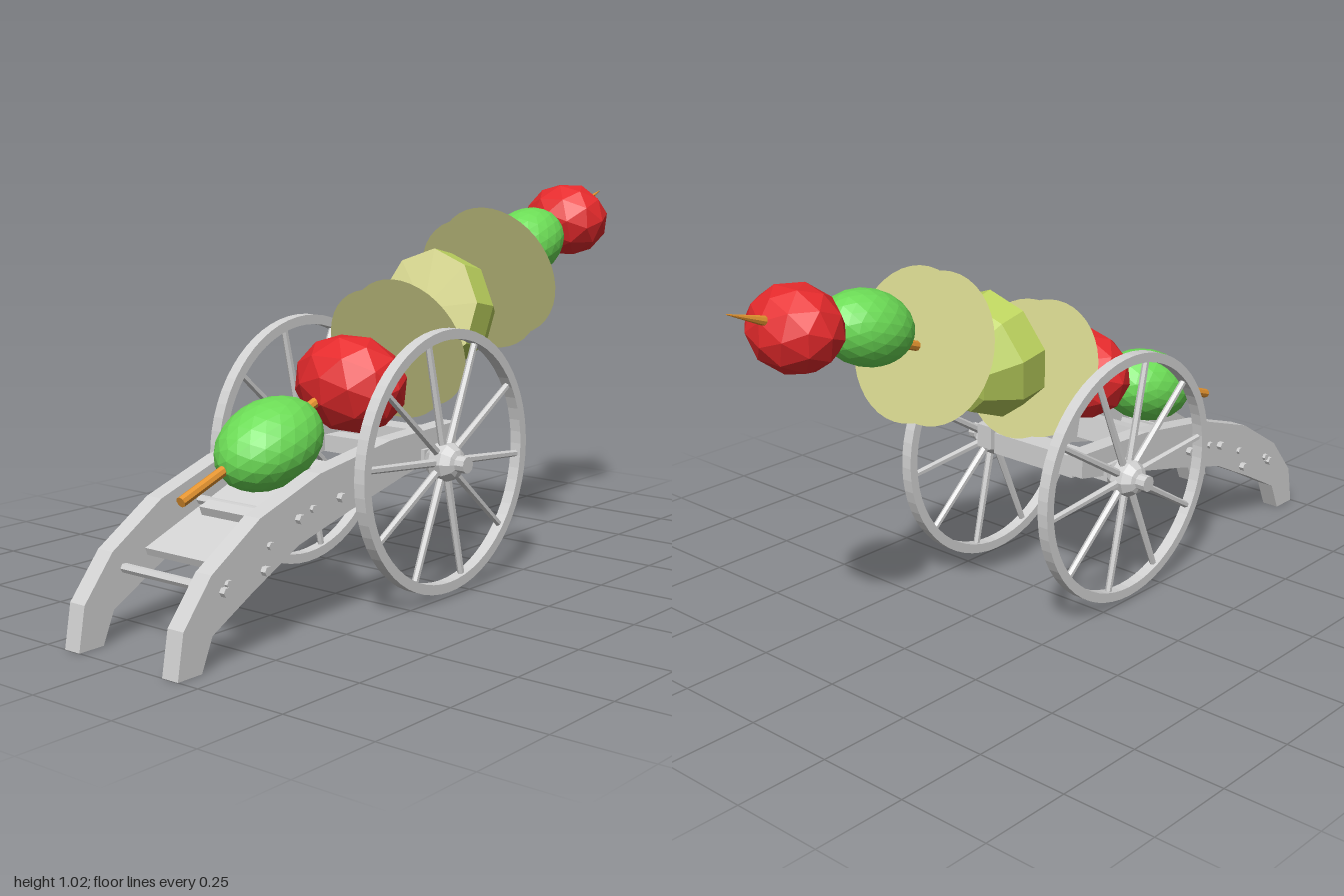
import * as THREE from 'three';

const mat = (name, color, side = THREE.FrontSide) => {
  const m = new THREE.MeshStandardMaterial({ color, side, flatShading: true });
  m.name = name;
  return m;
};
const V = (x, y, z) => new THREE.Vector3(x, y, z);

export function createModel() {
  const model = new THREE.Group();
  const steel = mat('grey metal', 0xd2d2d2);
  const red = mat('tomato red', 0xe62a2c);
  const green = mat('olive green', 0x6cdc56);
  const rind = mat('yellow green skin', 0xbcd25e, THREE.DoubleSide);
  const flesh = mat('cut onion', 0xe2e298, THREE.DoubleSide);
  const pale = mat('pale slice', 0xd2d28c, THREE.DoubleSide);
  const wood = mat('skewer wood', 0xe49430);

  const add = (parent, name, geo, material, pos = V(0, 0, 0)) => {
    const mesh = new THREE.Mesh(geo, material);
    mesh.name = name;
    mesh.position.copy(pos);
    parent.add(mesh);
    return mesh;
  };
  const rod = (parent, name, a, b, r0, r1, sides, material) => {
    const dir = b.clone().sub(a);
    const mesh = add(parent, name, new THREE.CylinderGeometry(r1, r0, dir.length(), sides),
      material, a.clone().add(b).multiplyScalar(0.5));
    mesh.quaternion.setFromUnitVectors(V(0, 1, 0), dir.normalize());
    return mesh;
  };
  const lathe = (pts, sides) =>
    new THREE.LatheGeometry(pts.map(([x, y]) => new THREE.Vector2(x, y)), sides);

  // Skewer: long stick and tapered tip
  const start = V(0.022, 0.35, 0.82), tip = V(0.005, 1.0, -1.0);
  const neck = start.clone().lerp(tip, 0.94);
  rod(model, 'skewer', start, neck, 0.0135, 0.0125, 8, wood);
  rod(model, 'skewerTip', neck, tip, 0.0125, 0.001, 8, wood);
  const tilt = Math.atan2(0.65, 1.82);

  // Tomatoes and olives: faceted balls along the stick
  const ball = (name, material, detail, pos, size) => {
    const mesh = add(model, name, new THREE.IcosahedronGeometry(1, detail), material, pos);
    mesh.scale.copy(size);
    mesh.rotation.x = tilt;
  };
  ball('backTomato', red, 1, V(0.015, 0.922, -0.8), V(0.127, 0.108, 0.11));
  ball('frontTomato', red, 1, V(0.042, 0.557, 0.235), V(0.16, 0.13, 0.122));
  ball('backOlive', green, 3, V(0.031, 0.868, -0.565), V(0.1, 0.095, 0.133));
  ball('frontOlive', green, 3, V(0.037, 0.447, 0.535), V(0.12, 0.105, 0.155));

  // Thin round slices, square to the stick
  for (const [y, z, r] of [[0.793, -0.42, 0.196], [0.764, -0.34, 0.196], [0.632, -0.015, 0.187], [0.612, 0.07, 0.187]]) {
    const slice = add(model, 'slice', new THREE.CircleGeometry(r, 40), pale, V(0.029, y, z));
    slice.rotation.x = tilt;
  }

  // Onion half: faceted dome with a slightly bulging cut face
  const onion = new THREE.Group();
  onion.name = 'onionHalf';
  onion.position.set(0.02, 0.715, -0.112);
  onion.quaternion.setFromUnitVectors(V(0, 1, 0), V(0, -0.2, -1).normalize());
  model.add(onion);
  add(onion, 'onionSkin', lathe([[0.165, 0], [0.162, 0.08], [0.105, 0.17], [0, 0.2]], 9), rind);
  add(onion, 'onionCutFace', lathe([[0, -0.015], [0.165, 0]], 9), flesh);

  // Carriage
  const carriage = new THREE.Group();
  carriage.name = 'carriage';
  model.add(carriage);

  // Curved side cheeks, drawn as (z, y) and extruded across x
  const top = [[1, 0], [0.98, 0.11], [0.89, 0.22], [0.73, 0.32], [0.52, 0.39], [0.25, 0.43], [-0.02, 0.44]];
  const under = [[-0.02, 0.375], [0.2, 0.33], [0.41, 0.28], [0.6, 0.23], [0.76, 0.15], [0.89, 0.08], [0.925, 0]];
  const cheekShape = new THREE.Shape([...top, ...under].map(([z, y]) => new THREE.Vector2(-z, y)));
  for (const s of [-1, 1]) {
    const geo = new THREE.ExtrudeGeometry(cheekShape, { depth: 0.05, bevelEnabled: false });
    geo.translate(0, 0, -0.025).rotateY(Math.PI / 2);
    add(carriage, 'cheek', geo, steel, V(s * 0.163, 0, 0));
    // Bolt heads on the outer faces
    for (const [y, z] of [[0.19, 0.84], [0.25, 0.7], [0.31, 0.55]]) {
      rod(carriage, 'bolt', V(s * 0.185, y, z), V(s * 0.197, y, z), 0.01, 0.01, 6, steel);
    }
  }

  // Cross rods and transoms between the cheeks
  for (const [y, z] of [[0.175, 0.855], [0.195, 0.72], [0.295, 0.6], [0.32, 0.45]]) {
    rod(carriage, 'crossRod', V(-0.203, y, z), V(0.203, y, z), 0.012, 0.012, 6, steel);
  }
  const box = (name, w, h, d, y, z, rx = 0) => {
    add(carriage, name, new THREE.BoxGeometry(w, h, d), steel, V(0, y, z)).rotation.x = rx;
  };
  box('bedPlank', 0.28, 0.02, 0.37, 0.265, 0.61, 0.36);
  box('raisedPlank', 0.2, 0.03, 0.14, 0.3, 0.57, 0.36);
  box('middleTransom', 0.28, 0.07, 0.05, 0.34, 0.38, 0.2);
  box('rearTransom', 0.28, 0.06, 0.07, 0.39, 0.03);
  box('axleBed', 0.4, 0.045, 0.06, 0.365, 0.1);

  // Spoked wheels with round hubs
  const R = 0.342, inner = 0.316, w = 0.032;
  const ring = new THREE.Shape().absarc(0, 0, R, 0, Math.PI * 2);
  ring.holes.push(new THREE.Path().absarc(0, 0, inner, 0, Math.PI * 2, true));
  for (const s of [-1, 1]) {
    const wheel = new THREE.Group();
    wheel.name = s > 0 ? 'leftWheel' : 'rightWheel';
    wheel.position.set(s * 0.243, 0.358, 0.1);
    carriage.add(wheel);
    const rim = new THREE.ExtrudeGeometry(ring, { depth: w, bevelEnabled: false, curveSegments: 30 });
    rim.translate(0, 0, -w / 2).rotateY(Math.PI / 2);
    add(wheel, 'rim', rim, steel);
    for (let i = 0; i < 10; i++) {
      const a = THREE.MathUtils.degToRad(31 + 36 * i);
      const out = V(0, Math.sin(a), -Math.cos(a));
      rod(wheel, 'spoke', out.clone().multiplyScalar(0.03), out.clone().multiplyScalar(inner + 0.008), 0.011, 0.009, 6, steel);
    }
    const hub = lathe([[0, -0.075], [0.022, -0.075], [0.022, -0.045], [0.035, -0.04], [0.05, -0.018],
      [0.05, 0.018], [0.035, 0.04], [0.022, 0.045], [0.022, 0.073], [0, 0.073]], 10);
    add(wheel, 'hub', hub, steel).rotation.z = -s * Math.PI / 2;
  }
  return model;
}
